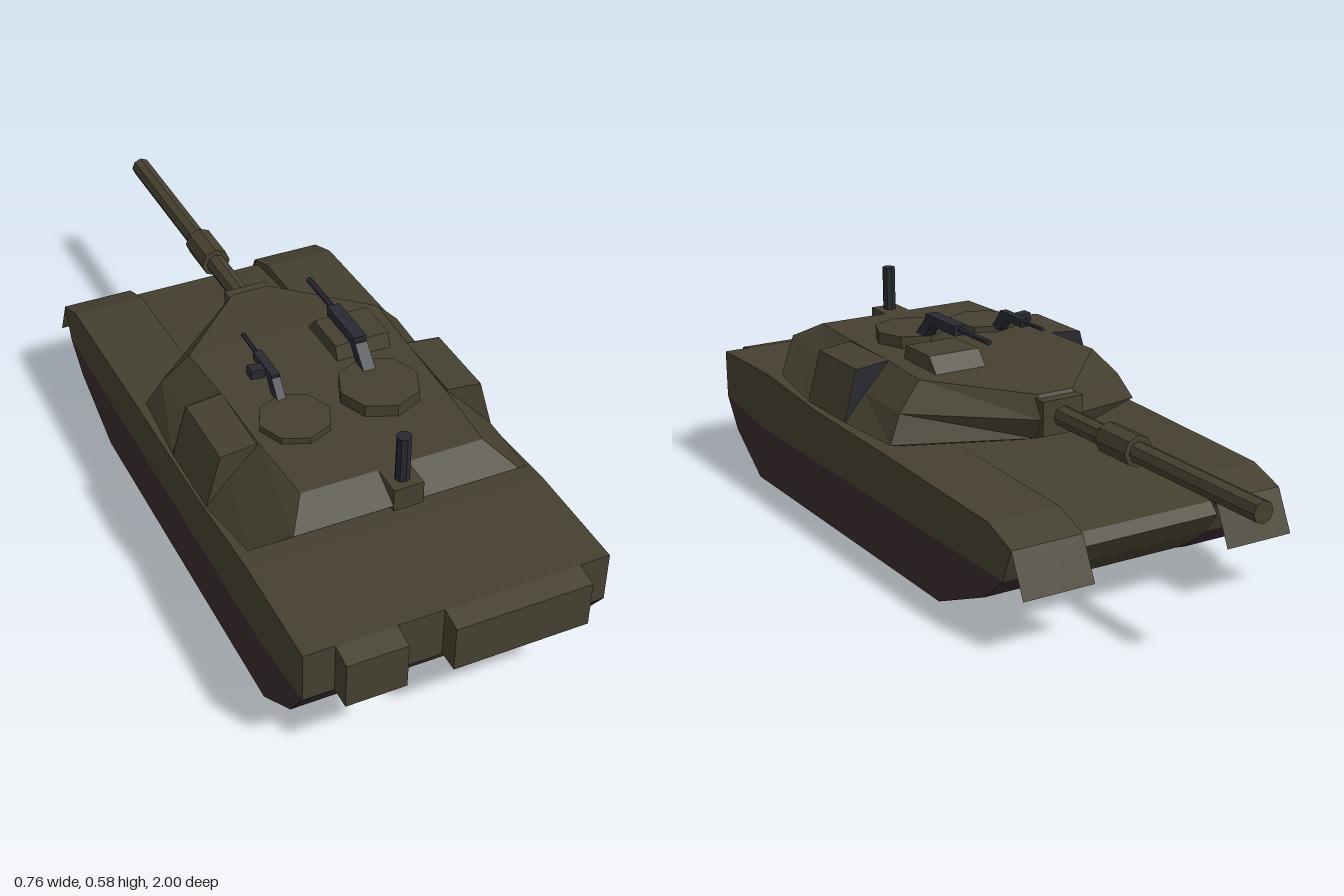
import * as THREE from 'three';

const paint = (color, side = THREE.FrontSide) =>
  new THREE.MeshStandardMaterial({ color, side, flatShading: true });
const olive = paint(0x454030);
const oliveThin = paint(0x454030, THREE.DoubleSide);
const trackBrown = paint(0x3a2a2d);
const gunmetal = paint(0x292a32);

export function createModel() {
  const model = new THREE.Group();

  const add = (name, geometry, material = olive, pos = [0, 0, 0], rot = [0, 0, 0]) => {
    const mesh = new THREE.Mesh(geometry, material);
    mesh.name = name;
    mesh.position.set(...pos);
    mesh.rotation.set(...rot);
    model.add(mesh);
    return mesh;
  };

  // Side profile of [z, y] points, extruded from x0 to x1
  const slab = (name, profile, x0, x1, material = olive) => {
    const shape = new THREE.Shape(profile.map(([z, y]) => new THREE.Vector2(z, y)));
    const geo = new THREE.ExtrudeGeometry(shape, { depth: x1 - x0, bevelEnabled: false });
    geo.rotateY(-Math.PI / 2).translate(x1, 0, 0);
    return add(name, geo, material);
  };

  // Flat quads given as corner lists, each anticlockwise from outside
  const quads = (list) => {
    const pos = list.flatMap(([a, b, c, d]) => [a, b, c, a, c, d]).flat();
    const geo = new THREE.BufferGeometry();
    geo.setAttribute('position', new THREE.Float32BufferAttribute(pos, 3));
    geo.computeVertexNormals();
    return geo;
  };

  const box = (name, size, pos, material = olive, rot) =>
    add(name, new THREE.BoxGeometry(...size), material, pos, rot);

  // Rod along z between two z values
  const rod = (name, r, z0, z1, x, y, material, sides = 8) =>
    add(name, new THREE.CylinderGeometry(r, r, z1 - z0, sides), material,
      [x, y, (z0 + z1) / 2], [Math.PI / 2, 0, 0]);

  // Hull centre with sloped nose and raised belly
  slab('hullCentre', [
    [0.945, 0.32], [0.65, 0.325], [0.36, 0.302], [-0.03, 0.295], [-0.2, 0.29],
    [-0.585, 0.24], [-0.612, 0.215], [-0.57, 0.155], [-0.49, 0.093], [0.875, 0.093], [0.945, 0.185],
  ], -0.19, 0.19);

  // Sponsons, tracks and front mud flaps on both sides
  for (const [side, a, b] of [['left', 0.19, 0.382], ['right', -0.382, -0.19]]) {
    slab(side + 'Sponson', [
      [0.945, 0.32], [0.65, 0.325], [0.36, 0.302], [-0.03, 0.295], [-0.51, 0.28],
      [-0.605, 0.245], [-0.57, 0.157], [0.72, 0.157], [0.945, 0.187],
    ], a, b);
    slab(side + 'Track', [
      [0.945, 0.187], [0.72, 0.157], [-0.57, 0.157], [-0.49, 0.09],
      [-0.28, 0], [0.74, 0], [0.885, 0.1],
    ], a, b, trackBrown);
    add(side + 'MudFlap', quads([[
      [a, 0.245, -0.605], [b, 0.245, -0.605], [b, 0.14, -0.655], [a, 0.14, -0.655],
    ]]), oliveThin);
  }

  // Stowage boxes on the tail plate
  for (const [x0, x1] of [[-0.305, -0.155], [-0.04, 0.305]]) {
    slab('rearBox', [[0.93, 0.32], [0.945, 0.32], [1, 0.308], [1, 0.187], [0.93, 0.187]], x0, x1);
  }

  // Turret: half rings from nose to tail, mirrored and lofted upward
  const rings = [
    [[0.05, 0.295, -0.1], [0.3, 0.29, 0.02], [0.32, 0.29, 0.2], [0.32, 0.29, 0.41], [0.28, 0.3, 0.44]],
    [[0.058, 0.33, -0.2], [0.366, 0.315, -0.02], [0.38, 0.315, 0.2], [0.38, 0.315, 0.41], [0.362, 0.335, 0.61]],
    [[0.058, 0.385, -0.228], [0.328, 0.385, 0], [0.32, 0.385, 0.2], [0.318, 0.385, 0.41], [0.286, 0.415, 0.69]],
    [[0.05, 0.442, -0.2], [0.26, 0.457, 0.02], [0.25, 0.46, 0.2], [0.245, 0.46, 0.41], [0.233, 0.46, 0.61]],
  ];
  const mirror = ([x, y, z]) => [-x, y, z];
  const loops = rings.map((h) => [...h, ...h.map(mirror).reverse()]);
  const faces = [];
  for (let r = 0; r < 3; r++) {
    loops[r].forEach((p, i) => {
      const j = (i + 1) % loops[r].length;
      faces.push([p, loops[r + 1][i], loops[r + 1][j], loops[r][j]]);
    });
  }
  for (let i = 0; i < 4; i++) {
    const [t0, t1, b0, b1] = [rings[3][i], rings[3][i + 1], rings[0][i], rings[0][i + 1]];
    faces.push([t0, mirror(t0), mirror(t1), t1], [b0, b1, mirror(b1), mirror(b0)]);
  }
  add('turret', quads(faces));

  // Wedge-shaped side bins with a dark front end
  for (const s of [1, -1]) {
    const section = [[0.38, 0.315], [0.342, 0.45], [0.25, 0.46], [0.24, 0.4]]
      .map(([x, y]) => new THREE.Vector2(s * x, y));
    const bin = new THREE.ExtrudeGeometry(new THREE.Shape(section), { depth: 0.21, bevelEnabled: false });
    add(s > 0 ? 'leftBin' : 'rightBin', bin, olive, [0, 0, 0.2]);
    const end = new THREE.ShapeGeometry(new THREE.Shape(section));
    add('binEnd', end, paint(0x292a32, THREE.DoubleSide), [0, 0, 0.198]);
  }

  // Main gun
  rod('gunBarrel', 0.027, -1, -0.18, 0, 0.388, olive);
  rod('gunSleeve', 0.04, -0.55, -0.43, 0, 0.39, olive);
  box('mantlet', [0.116, 0.09, 0.05], [0, 0.388, -0.21]);

  // Roof hatches and sight housing
  add('rightHatch', new THREE.CylinderGeometry(0.09, 0.09, 0.025, 8), olive, [-0.135, 0.4635, 0.37]);
  add('leftHatch', new THREE.CylinderGeometry(0.102, 0.102, 0.04, 8), olive, [0.095, 0.471, 0.35]);
  slab('sightHousing', [[0.2, 0.45], [0.185, 0.497], [0.065, 0.497], [0.025, 0.45]], 0.06, 0.205);

  // Antenna on its base
  box('antennaBase', [0.076, 0.06, 0.09], [0, 0.43, 0.645]);
  add('antenna', new THREE.CylinderGeometry(0.018, 0.018, 0.13, 8), gunmetal, [0, 0.515, 0.655]);

  // Left roof gun: bent mount, receiver and barrel
  slab('leftGunMount', [[0.305, 0.485], [0.25, 0.54], [0.21, 0.54], [0.26, 0.485]], 0.08, 0.112, gunmetal);
  box('leftGunReceiver', [0.034, 0.026, 0.15], [0.096, 0.541, 0.17], gunmetal);
  rod('leftGunBarrel', 0.008, -0.045, 0.12, 0.096, 0.543, gunmetal, 6);

  // Right roof gun with ammunition box
  slab('rightGunMount', [[0.305, 0.47], [0.26, 0.522], [0.22, 0.522], [0.26, 0.47]], -0.147, -0.125, gunmetal);
  box('rightGunReceiver', [0.022, 0.022, 0.11], [-0.136, 0.513, 0.21], gunmetal);
  rod('rightGunBarrel', 0.006, 0.07, 0.17, -0.136, 0.516, gunmetal, 6);
  box('ammoBox', [0.036, 0.024, 0.03], [-0.166, 0.511, 0.215], gunmetal, [0, 0, -0.1]);

  return model;
}
